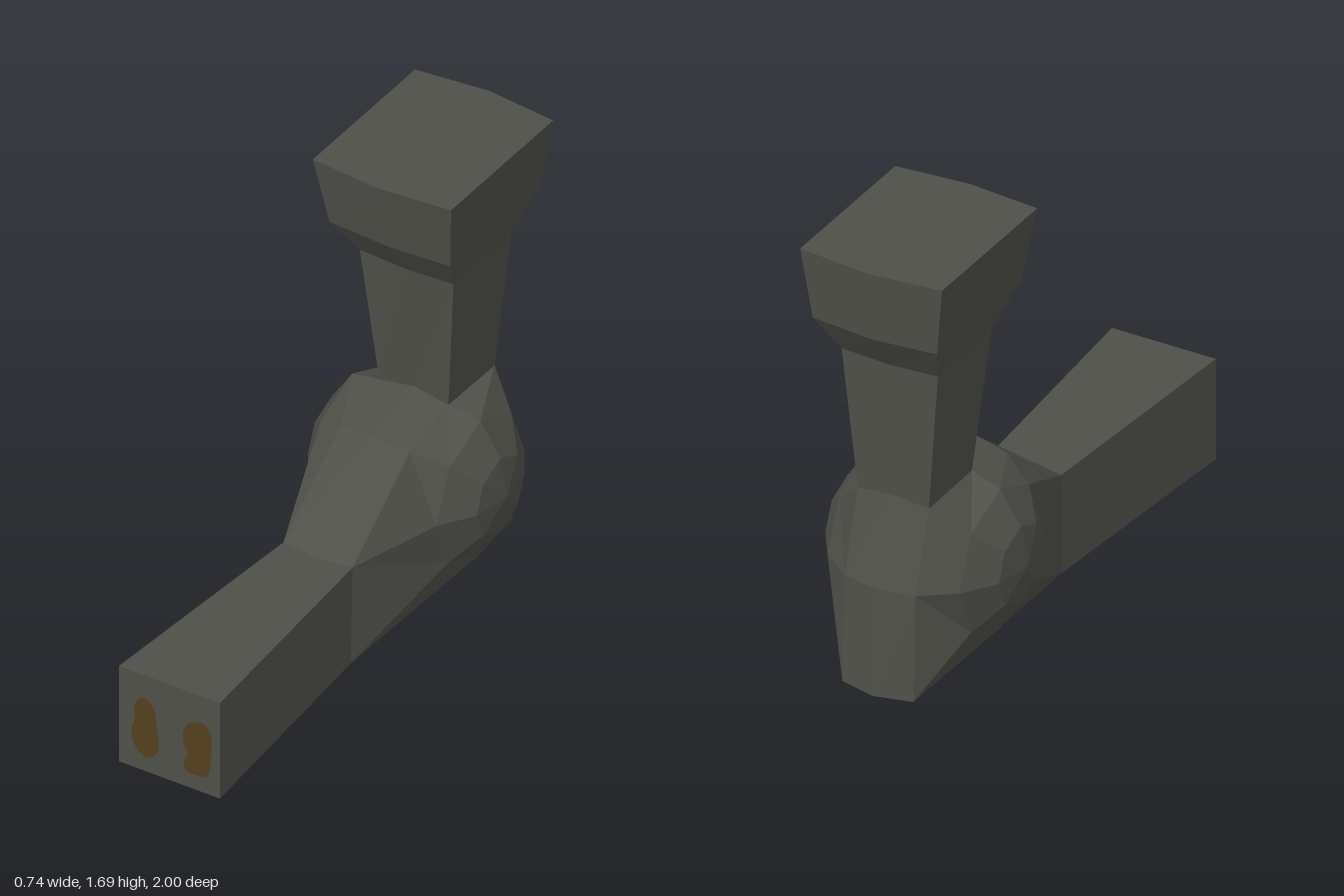
import * as THREE from 'three';

// Stations around the outline, from the front bottom edge over the top and back underneath:
// [half width, corner y, corner z, middle y, middle z]
const STATIONS = [
  [0.205, 0, 1, 0, 1],
  [0.205, 0.395, 1, 0.395, 1],
  [0.14, 0.39, 0.07, 0.39, 0.085],
  [0.14, 0.66, -0.29, 0.68, -0.27],
  [0.14, 0.715, -0.53, 0.74, -0.53],
  [0.19, 1.26, -0.485, 1.26, -0.473],
  [0.245, 1.415, -0.38, 1.415, -0.365],
  [0.28, 1.69, -0.33, 1.69, -0.305],
  [0.28, 1.69, -0.97, 1.69, -1],
  [0.245, 1.415, -0.945, 1.415, -0.97],
  [0.19, 1.26, -0.845, 1.26, -0.86],
  [0.14, 0.71, -0.82, 0.73, -0.83],
  [0.14, 0.41, -0.91, 0.41, -0.935],
  [0.14, 0, -0.925, 0, -0.96],
  [0.14, 0, -0.55, 0, -0.55],
  [0.14, 0, 0.08, 0, 0.08],
];
const corner = (i, side) => [side * STATIONS[i][0], STATIONS[i][1], STATIONS[i][2]];
const middle = (i) => [0, STATIONS[i][3], STATIONS[i][4]];

// Collects quads as loose triangles; side -1 mirrors the winding
function faceBuilder() {
  const pos = [];
  const quad = (a, b, c, d, side = 1) => {
    const [p, q, r, s] = side > 0 ? [a, b, c, d] : [d, c, b, a];
    pos.push(...p, ...q, ...r, ...p, ...r, ...s);
  };
  // Two-panel strip across the model between consecutive stations
  const strip = (...ids) => {
    for (let k = 0; k + 1 < ids.length; k++) {
      const [i, j] = [ids[k], ids[k + 1]];
      for (const side of [1, -1]) quad(middle(i), corner(i, side), corner(j, side), middle(j), side);
    }
  };
  // Flat side panels, mirrored
  const sides = (a, b, c, d) => {
    for (const s of [1, -1]) quad(corner(a, s), corner(b, s), corner(c, s), corner(d, s), s);
  };
  const mesh = (name, material) => {
    const g = new THREE.BufferGeometry();
    g.setAttribute('position', new THREE.Float32BufferAttribute(pos, 3));
    g.computeVertexNormals();
    const m = new THREE.Mesh(g, material);
    m.name = name;
    return m;
  };
  return { quad, strip, sides, mesh };
}

export function createModel() {
  const group = new THREE.Group();
  group.name = 'model';
  const grey = new THREE.MeshStandardMaterial({ name: 'dark grey', color: 0x50504a, flatShading: true });
  const brown = new THREE.MeshStandardMaterial({ name: 'brown', color: 0x553f1e });

  // Long square bar reaching forward
  const bar = faceBuilder();
  bar.strip(15, 0, 1, 2);
  bar.sides(0, 15, 2, 1);
  group.add(bar.mesh('frontBar', grey));

  // Sloping body with its back and underside
  const body = faceBuilder();
  body.strip(2, 3, 4);
  body.strip(11, 12, 13, 14, 15);
  group.add(body.mesh('body', grey));

  // Domed bulges on both sides, octagonal rings closing to a tip
  const ring = (x, r, side) => Array.from({ length: 8 }, (_, k) => {
    const a = (k * Math.PI) / 4;
    return [side * x, 0.41 + r * Math.sin(a), -0.545 + r * Math.cos(a)];
  });
  for (const side of [1, -1]) {
    const dome = faceBuilder();
    const rings = [
      [2, 3, 4, 11, 12, 13, 14, 15].map((i) => corner(i, side)),
      ring(0.26, 0.275, side),
      ring(0.342, 0.15, side),
      ring(0.368, 0, side),
    ];
    for (let r = 0; r < 3; r++) {
      for (let k = 0; k < 8; k++) {
        const n = (k + 1) % 8;
        dome.quad(rings[r][n], rings[r][k], rings[r + 1][k], rings[r + 1][n], side);
      }
    }
    group.add(dome.mesh(side > 0 ? 'leftBulge' : 'rightBulge', grey));
  }

  // Upright shaft
  const shaft = faceBuilder();
  shaft.strip(4, 5);
  shaft.strip(10, 11);
  shaft.sides(4, 11, 10, 5);
  group.add(shaft.mesh('shaft', grey));

  // Flared block on top of the shaft
  const head = faceBuilder();
  head.strip(5, 6, 7, 8, 9, 10);
  head.sides(5, 10, 9, 6);
  head.sides(6, 9, 8, 7);
  group.add(head.mesh('flaredTop', grey));

  // Painted spots on the front end
  const spots = {
    rightSpot: [[-0.1, 0.303], [-0.075, 0.29], [-0.055, 0.25], [-0.05, 0.2], [-0.042, 0.15], [-0.05, 0.09],
      [-0.085, 0.06], [-0.12, 0.07], [-0.148, 0.11], [-0.152, 0.16], [-0.14, 0.2], [-0.142, 0.25], [-0.125, 0.29]],
    leftSpot: [[0.115, 0.283], [0.15, 0.28], [0.17, 0.25], [0.172, 0.19], [0.168, 0.13], [0.158, 0.08],
      [0.14, 0.065], [0.07, 0.065], [0.06, 0.08], [0.062, 0.11], [0.075, 0.14], [0.06, 0.17], [0.057, 0.22], [0.075, 0.26]],
  };
  for (const [name, pts] of Object.entries(spots)) {
    const curve = new THREE.CatmullRomCurve3(pts.map(([x, y]) => new THREE.Vector3(x, y, 0)), true);
    const outline = curve.getPoints(48).slice(0, -1).map((p) => new THREE.Vector2(p.x, p.y));
    const spot = new THREE.Mesh(new THREE.ShapeGeometry(new THREE.Shape(outline)), brown);
    spot.name = name;
    spot.position.z = 1.002;
    group.add(spot);
  }
  return group;
}
